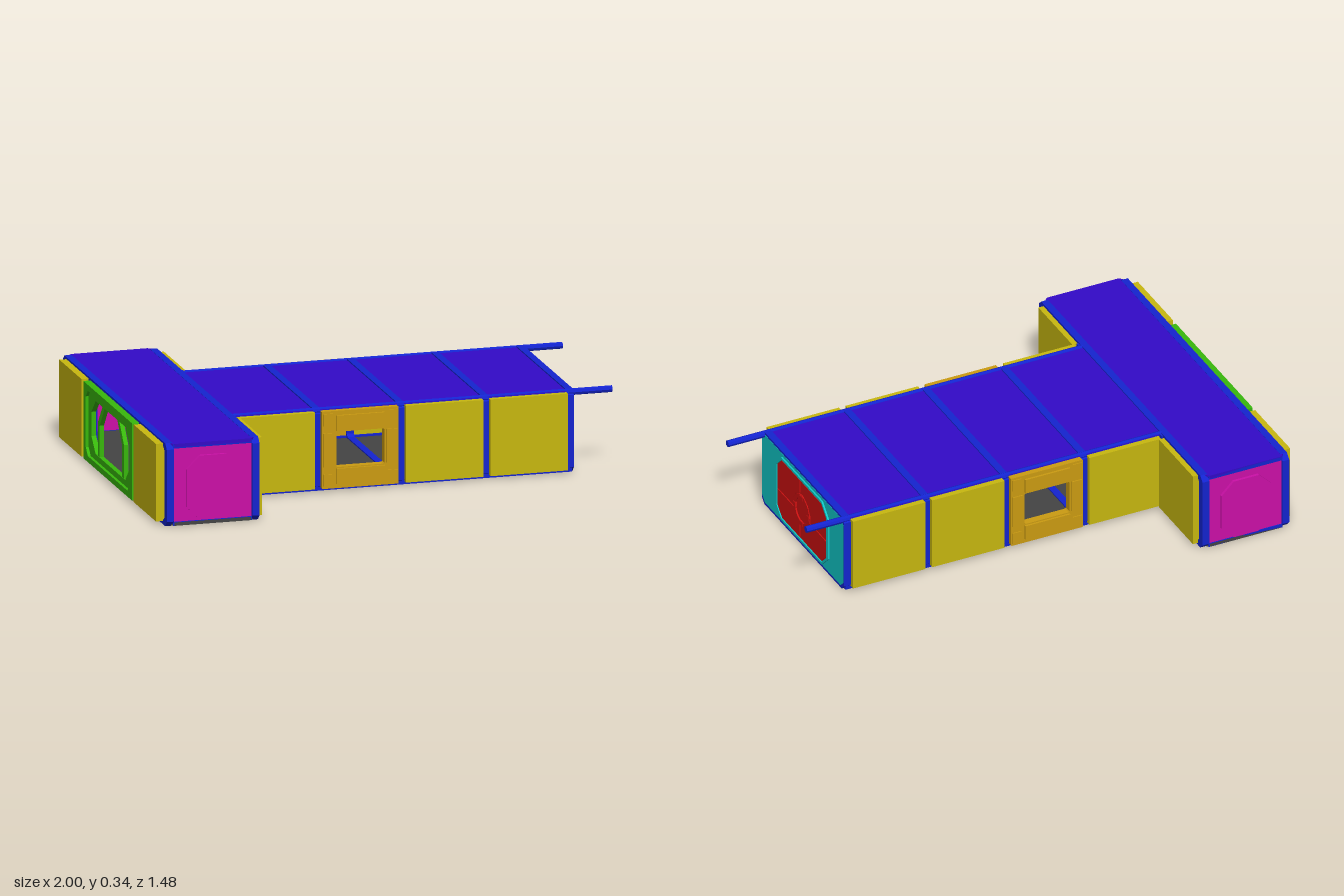
import * as THREE from 'three';

const mat = (color) => new THREE.MeshStandardMaterial({ color, flatShading: true, side: THREE.DoubleSide });
const M = {
  frame: mat(0x1424d0), roof: mat(0x330ac8), floor: mat(0x444444), wall: mat(0xc8b810),
  window: mat(0xcc9c12), hatch: mat(0xcc10a8), green: mat(0x38b80c), teal: mat(0x10c8c8), red: mat(0xcc1010),
};
const FRONT = 0, BACK = Math.PI, LEFT = Math.PI / 2, RIGHT = -Math.PI / 2;

// Rectangle with cut corners, centred on (x, y)
function cutRect(w, h, c, x = 0, y = 0, Type = THREE.Shape) {
  const a = w / 2, b = h / 2;
  const pts = [[-a + c, -b], [a - c, -b], [a, -b + c], [a, b - c], [a - c, b], [-a + c, b], [-a, b - c], [-a, -b + c]];
  return new Type(pts.map(([u, v]) => new THREE.Vector2(u + x, v + y)));
}

export function createModel() {
  const root = new THREE.Group();

  const add = (name, geo, m, x = 0, y = 0, z = 0, turn = 0, parent = root) => {
    const mesh = new THREE.Mesh(geo, m);
    mesh.name = name;
    mesh.position.set(x, y, z);
    mesh.rotation.y = turn;
    parent.add(mesh);
    return mesh;
  };
  // Box given by its limits on each axis
  const box = (name, m, x0, x1, y0, y1, z0, z1, parent) => add(name,
    new THREE.BoxGeometry(x1 - x0, y1 - y0, z1 - z0), m,
    (x0 + x1) / 2, (y0 + y1) / 2, (z0 + z1) / 2, 0, parent);
  const extrude = (shape, depth) => new THREE.ExtrudeGeometry(shape, { depth, bevelEnabled: false });
  const ring = (w, h, c, iw, ih, ic, depth) => {
    const s = cutRect(w, h, c);
    s.holes.push(cutRect(iw, ih, ic, 0, 0, THREE.Path));
    return extrude(s, depth);
  };
  const side = (name, x, y, z, turn) => {
    const g = new THREE.Group();
    g.name = name;
    g.position.set(x, y, z);
    g.rotation.y = turn;
    root.add(g);
    return g;
  };

  // Upright hoops: two along the crossbar, four along the hall
  const hoop = (x, w, halfZ, t) => add('hoop',
    ring(halfZ * 2, 0.343, 0.022, halfZ * 2 - 2 * t, 0.343 - 0.04, 0.012, w), M.frame, x - w / 2, 0.1725, 0, LEFT);
  hoop(-0.955, 0.03, 0.738, 0.035);
  hoop(-0.598, 0.03, 0.738, 0.035);
  for (const x of [-0.235, 0.115, 0.468, 0.822]) hoop(x, 0.03, 0.37, 0.022);

  // Crossbar roof and floor
  const slab = (name, m, y) => {
    const mesh = add(name, extrude(cutRect(0.37, 1.466, 0.025), 0.014), m, -0.777, y, 0);
    mesh.rotation.x = -Math.PI / 2;
  };
  slab('crossbarRoof', M.roof, 0.329);
  slab('crossbarFloor', M.floor, 0.004);

  // Hall roof and floor bays between the hoops
  const bays = [[-0.585, -0.25], [-0.22, 0.1], [0.13, 0.453], [0.483, 0.807]];
  for (const [a, b] of bays) {
    box('hallRoof', M.roof, a, b, 0.328, 0.339, -0.365, 0.365);
    box('hallFloor', M.floor, a, b, 0.005, 0.016, -0.365, 0.365);
  }

  for (const s of [1, -1]) {
    const turn = s > 0 ? FRONT : BACK;
    // Top rail running past the end wall, and bottom rail
    const rail = add('topRail', new THREE.CylinderGeometry(0.014, 0.014, 1.59, 8), M.frame, 0.205, 0.331, s * 0.353);
    rail.rotation.z = Math.PI / 2;
    box('bottomRail', M.frame, -0.59, 0.83, 0.004, 0.024, s * 0.358 - 0.01, s * 0.358 + 0.01);

    // Hall side walls, second bay holds the window
    bays.forEach(([a, b], i) => {
      if (i !== 1) box('sideWall', M.wall, Math.max(a, -0.57), b, 0.016, 0.334, s * 0.374 - 0.016, s * 0.374 + 0.016);
    });
    const win = side('windowWall', -0.06, 0.175, s * 0.358, turn);
    add('windowPanel', ring(0.32, 0.32, 0.002, 0.2, 0.146, 0.004, 0.032), M.window, 0, 0, 0, 0, win);
    for (const v of [1, -1]) {
      box('windowBand', M.window, -0.1, 0.1, v * 0.11 - 0.032, v * 0.11 + 0.032, 0.03, 0.041, win);
      box('windowJamb', M.window, v * 0.132 - 0.022, v * 0.132 + 0.022, -0.07, 0.07, 0.03, 0.037, win);
      for (const u of [1, -1])
        box('windowCorner', M.window, u * 0.135 - 0.02, u * 0.135 + 0.02, v * 0.125 - 0.025, v * 0.125 + 0.025, 0.03, 0.036, win);
    }

    // Crossbar walls and the posts beside the hall
    box('innerWall', M.wall, -0.59, -0.56, 0.012, 0.334, s * 0.543 - 0.153, s * 0.543 + 0.153);
    box('outerWall', M.wall, -1, -0.965, 0.015, 0.336, s * 0.528 - 0.158, s * 0.528 + 0.158);
    box('jointPost', M.frame, -0.612, -0.575, 0.01, 0.34, s * 0.367 - 0.014, s * 0.367 + 0.014);
    box('outerPost', M.frame, -0.97, -0.94, 0.01, 0.34, s * 0.358 - 0.014, s * 0.358 + 0.014);

    // Crossbar end hatch
    const end = side('endHatch', -0.777, 0.172, s * 0.715, turn);
    add('endPlate', extrude(cutRect(0.33, 0.31, 0.004), 0.014), M.hatch, 0, 0, 0, 0, end);
    add('hatchPanel', extrude(cutRect(0.222, 0.265, 0.055), 0.026), M.hatch, 0, -0.015, 0, 0, end);
    for (const v of [1, -1]) box('endSill', M.frame, -0.165, 0.165, v * 0.16 - 0.008, v * 0.16 + 0.008, 0, 0.018, end);
  }

  // Large window in the crossbar's outer side
  const bay = side('bayWindow', -0.968, 0.175, 0, RIGHT);
  add('bayFrame', ring(0.69, 0.32, 0.002, 0.54, 0.22, 0.06, 0.02), M.green, 0, 0, 0, 0, bay);
  add('bayRim', ring(0.69, 0.32, 0.002, 0.62, 0.27, 0.03, 0.032), M.green, 0, 0, 0, 0, bay);
  for (const u of [1, -1]) {
    const bar = new THREE.Shape([[0.16, -0.115], [0.16, 0.02], [0.085, 0.115], [0.115, 0.115], [0.185, 0.028], [0.185, -0.115]]
      .map(([x, y]) => new THREE.Vector2(u * x, y)));
    add('bayMullion', extrude(bar, 0.018), M.green, 0, 0, 0, 0, bay);
  }

  // End wall with its round-hubbed door
  const door = side('endWall', 0.82, 0.173, 0, LEFT);
  add('endWallPanel', extrude(cutRect(0.73, 0.322, 0.025), 0.018), M.teal, 0, 0, 0, 0, door);
  add('doorSurround', ring(0.485, 0.3, 0.06, 0.447, 0.28, 0.045, 0.025), M.teal, 0, -0.002, 0, 0, door);
  add('doorPlate', extrude(cutRect(0.447, 0.282, 0.045), 0.019), M.red, 0, -0.002, 0, 0, door);
  for (const u of [1, -1]) for (const v of [1, -1]) {
    // Raised quarter panel with its outer corner cut and the hub side cut
    const q = new THREE.Shape([[0.02, 0.075], [0.02, 0.135], [0.175, 0.135], [0.218, 0.095], [0.218, 0.02], [0.075, 0.02], [0.055, 0.055]]
      .map(([x, y]) => new THREE.Vector2(u * x, v * y)));
    add('doorQuarter', extrude(q, 0.023), M.red, 0, -0.002, 0, 0, door);
  }
  const hub = new THREE.Shape().absarc(0, 0, 0.073, 0, Math.PI * 2);
  hub.holes.push(new THREE.Path().absarc(0, 0, 0.055, 0, Math.PI * 2, true));
  add('doorHub', new THREE.ExtrudeGeometry(hub, { depth: 0.025, bevelEnabled: false, curveSegments: 10 }), M.red, 0, -0.002, 0, 0, door);
  for (let i = 0; i < 4; i++) {
    const a = i * Math.PI / 2;
    box('hubLug', M.red, Math.cos(a) * 0.06 - 0.01, Math.cos(a) * 0.06 + 0.01,
      Math.sin(a) * 0.06 - 0.012, Math.sin(a) * 0.06 + 0.008, 0.015, 0.027, door);
  }

  return root;
}
